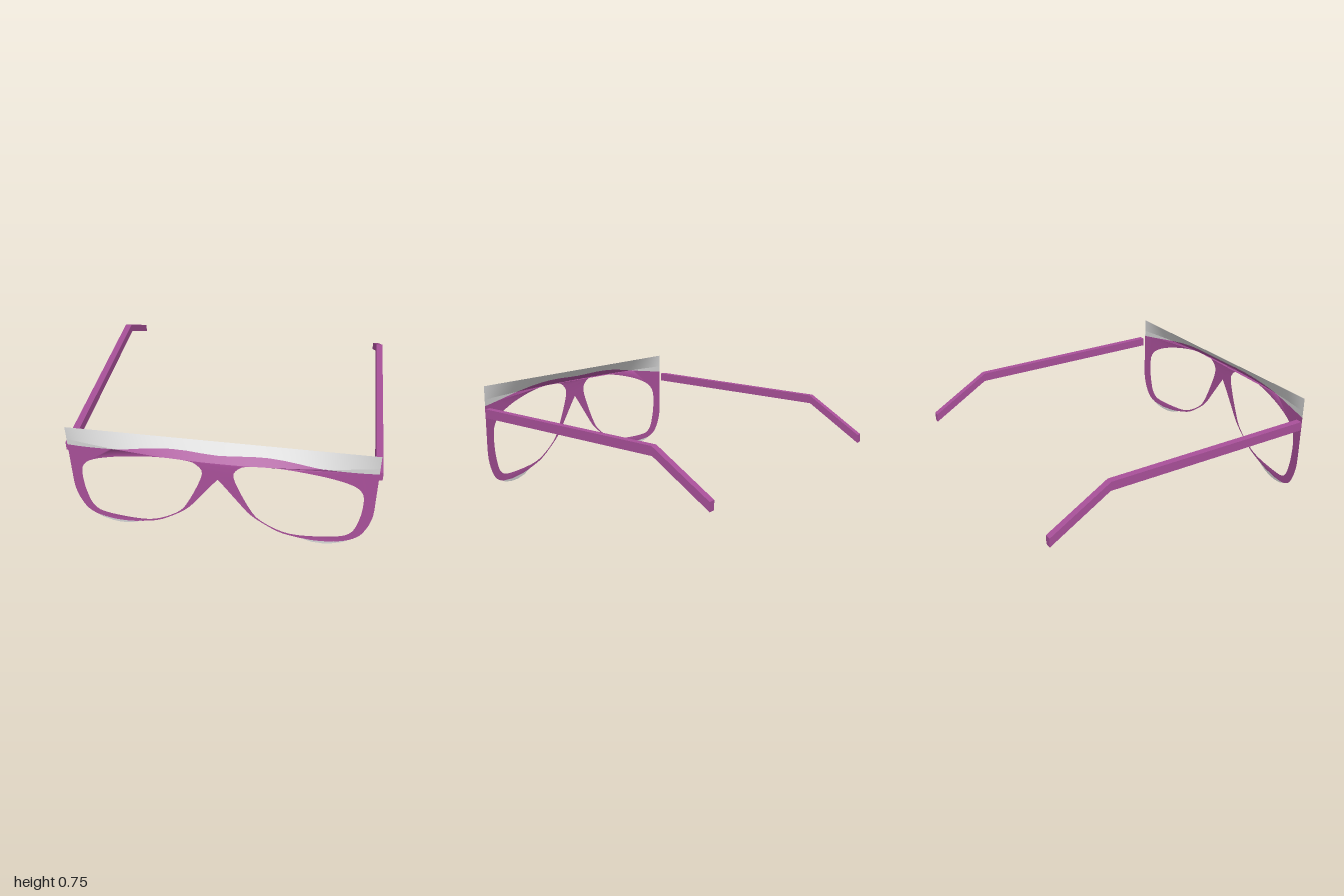
import * as THREE from 'three';

const FOLD = 0.65, TOP = 0.745, HALF = 0.975, BACK = 0.905;

// curved front sheet, leaning back above the fold line
function sheetZ(x, y) {
  const z = BACK + (1 - BACK) * (1 - (x / HALF) ** 2);
  return y <= FOLD ? z : THREE.MathUtils.lerp(z, BACK, (y - FOLD) / (TOP - FOLD));
}

// height of the rim's upper edge
const rimTop = [[0, 0.685], [0.1, 0.688], [0.2, 0.693], [0.3, 0.693], [0.4, 0.686], [0.5, 0.673],
  [0.6, 0.656], [0.8, 0.626], [0.9, 0.613], [HALF, 0.605]];
function rimY(x) {
  const a = Math.min(Math.abs(x), HALF);
  const i = Math.max(1, rimTop.findIndex(p => p[0] >= a));
  const [p, q] = [rimTop[i - 1], rimTop[i]];
  return THREE.MathUtils.lerp(p[1], q[1], (a - p[0]) / (q[0] - p[0]));
}

// strip of sheet between two height functions
function strip(low, high, n = 80) {
  const pos = [], idx = [];
  for (let i = 0; i <= n; i++) {
    const x = HALF * (2 * i / n - 1);
    for (const y of [low(x), high(x)]) pos.push(x, y, sheetZ(x, y));
    if (i < n) { const a = 2 * i; idx.push(a, a + 2, a + 1, a + 1, a + 2, a + 3); }
  }
  const g = new THREE.BufferGeometry();
  g.setAttribute('position', new THREE.Float32BufferAttribute(pos, 3));
  g.setIndex(idx);
  g.computeVertexNormals();
  return g;
}

// flat shape bent onto the sheet
function bent(shape) {
  const g = new THREE.ShapeGeometry(shape), p = g.attributes.position;
  for (let i = 0; i < p.count; i++) p.setZ(i, sheetZ(p.getX(i), p.getY(i)));
  g.computeVertexNormals();
  return g;
}

const smooth = (pts, n, closed = false) => new THREE.CatmullRomCurve3(
  pts.map(([x, y]) => new THREE.Vector3(x, y, 0)), closed, 'centripetal')
  .getSpacedPoints(n).map(v => new THREE.Vector2(v.x, v.y));
const mirrored = pts => pts.map(v => new THREE.Vector2(-v.x, v.y)).reverse();

export function createModel() {
  const model = new THREE.Group();
  const purple = new THREE.MeshStandardMaterial({ color: 0xa85099, side: THREE.DoubleSide });
  purple.name = 'purple';
  const grey = new THREE.MeshStandardMaterial({ color: 0xd4d4d4, side: THREE.DoubleSide });
  grey.name = 'pale grey';
  const add = (name, geometry, material) => {
    const mesh = new THREE.Mesh(geometry, material);
    mesh.name = name;
    model.add(mesh);
    return mesh;
  };

  // rim with two lens openings
  const lower = smooth([[0, 0.52], [0.04, 0.465], [0.12, 0.35], [0.2, 0.24], [0.3, 0.155], [0.4, 0.09],
    [0.5, 0.055], [0.6, 0.03], [0.72, 0.018], [0.83, 0.028], [0.9, 0.065], [0.945, 0.14],
    [0.97, 0.23], [HALF, 0.3]], 60);
  const upper = [];
  for (let i = 0; i <= 80; i++) {
    const x = HALF * (1 - i / 40);
    upper.push(new THREE.Vector2(x, Math.min(FOLD, rimY(x))));
  }
  const outline = new THREE.Shape([...lower, ...upper, ...mirrored(lower).slice(0, -1)]);
  const lens = smooth([[0.15, 0.638], [0.2, 0.648], [0.34, 0.648], [0.45, 0.635], [0.6, 0.602],
    [0.7, 0.572], [0.8, 0.53], [0.86, 0.488], [0.895, 0.43], [0.9, 0.3], [0.885, 0.2], [0.86, 0.12],
    [0.825, 0.082], [0.78, 0.068], [0.5, 0.075], [0.4, 0.105], [0.27, 0.19], [0.22, 0.25],
    [0.1, 0.54], [0.1, 0.585]], 90, true).slice(0, -1);
  outline.holes.push(new THREE.Path(lens), new THREE.Path(mirrored(lens)));
  add('rim', bent(outline), purple);

  // folded part of the rim, then the brow shield above it
  const foldY = x => Math.max(FOLD, rimY(x));
  add('browFold', strip(() => FOLD, foldY), purple);
  add('shieldSides', strip(x => Math.min(FOLD, rimY(x)), () => FOLD), grey);
  add('browShield', strip(foldY, () => TOP), grey);

  // thin pale edge under each lens
  const edge = [[0.52, 0.05], [0.6, 0.014], [0.67, 0], [0.73, 0], [0.8, 0.012], [0.87, 0.045],
    [0.83, 0.028], [0.72, 0.018], [0.6, 0.03]].map(p => new THREE.Vector2(...p));
  add('leftLowerEdge', bent(new THREE.Shape(edge)), grey);
  add('rightLowerEdge', bent(new THREE.Shape(mirrored(edge))), grey);

  // bent temple arms
  const profile = new THREE.Shape([[0.875, 0.53], [0.875, 0.592], [-0.59, 0.56], [-1, 0.305],
    [-1, 0.245], [-0.595, 0.5]].map(p => new THREE.Vector2(...p)));
  const arm = new THREE.ExtrudeGeometry(profile, { depth: 0.045, bevelEnabled: false });
  arm.rotateY(-Math.PI / 2);
  add('leftArm', arm, purple).position.x = 1;
  add('rightArm', arm, purple).position.x = -0.955;
  return model;
}
